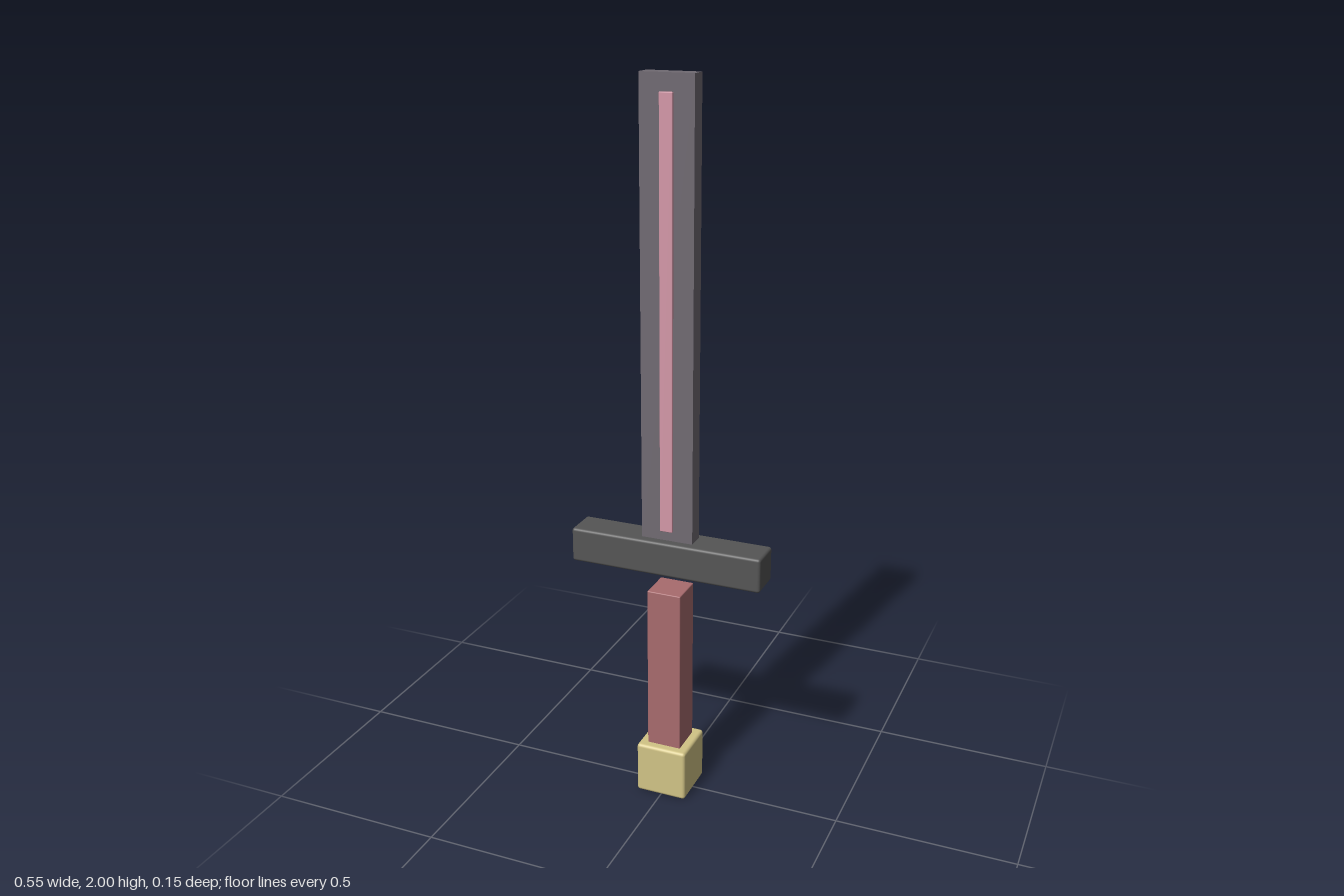
import * as THREE from 'three';
import { RoundedBoxGeometry } from 'three/addons/geometries/RoundedBoxGeometry.js';

const mat = (color) => new THREE.MeshStandardMaterial({ color });

export function createModel() {
  const sword = new THREE.Group();
  sword.name = 'sword';

  // Box spanning y0..y1, with softened edges when a radius is given
  function block(name, material, width, y0, y1, depth, radius = 0, z = 0) {
    const height = y1 - y0;
    const geometry = radius
      ? new RoundedBoxGeometry(width, height, depth, 3, radius)
      : new THREE.BoxGeometry(width, height, depth);
    const mesh = new THREE.Mesh(geometry, material);
    mesh.name = name;
    mesh.position.set(0, (y0 + y1) / 2, z);
    sword.add(mesh);
  }

  // Handle: pommel, grip and the crossguard floating just above it
  block('pommel', mat(0xd2c486), 0.147, 0.005, 0.152, 0.147, 0.009);
  block('grip', mat(0xa86b6e), 0.098, 0.14, 0.628, 0.098, 0.003);
  block('crossguard', mat(0x555555), 0.55, 0.68, 0.778, 0.098, 0.008);

  // Blade with a raised strip on each face
  block('blade', mat(0x706a72), 0.147, 0.77, 2, 0.048);
  const stripMaterial = mat(0xd498a8);
  for (const side of [1, -1]) {
    const name = side > 0 ? 'frontStrip' : 'backStrip';
    block(name, stripMaterial, 0.036, 0.805, 1.955, 0.012, 0.002, side * 0.025);
  }

  // Rest the pommel on the ground
  sword.getObjectByName('pommel').position.y = 0.0755;
  sword.getObjectByName('pommel').scale.y = 0.151 / 0.147;
  return sword;
}
